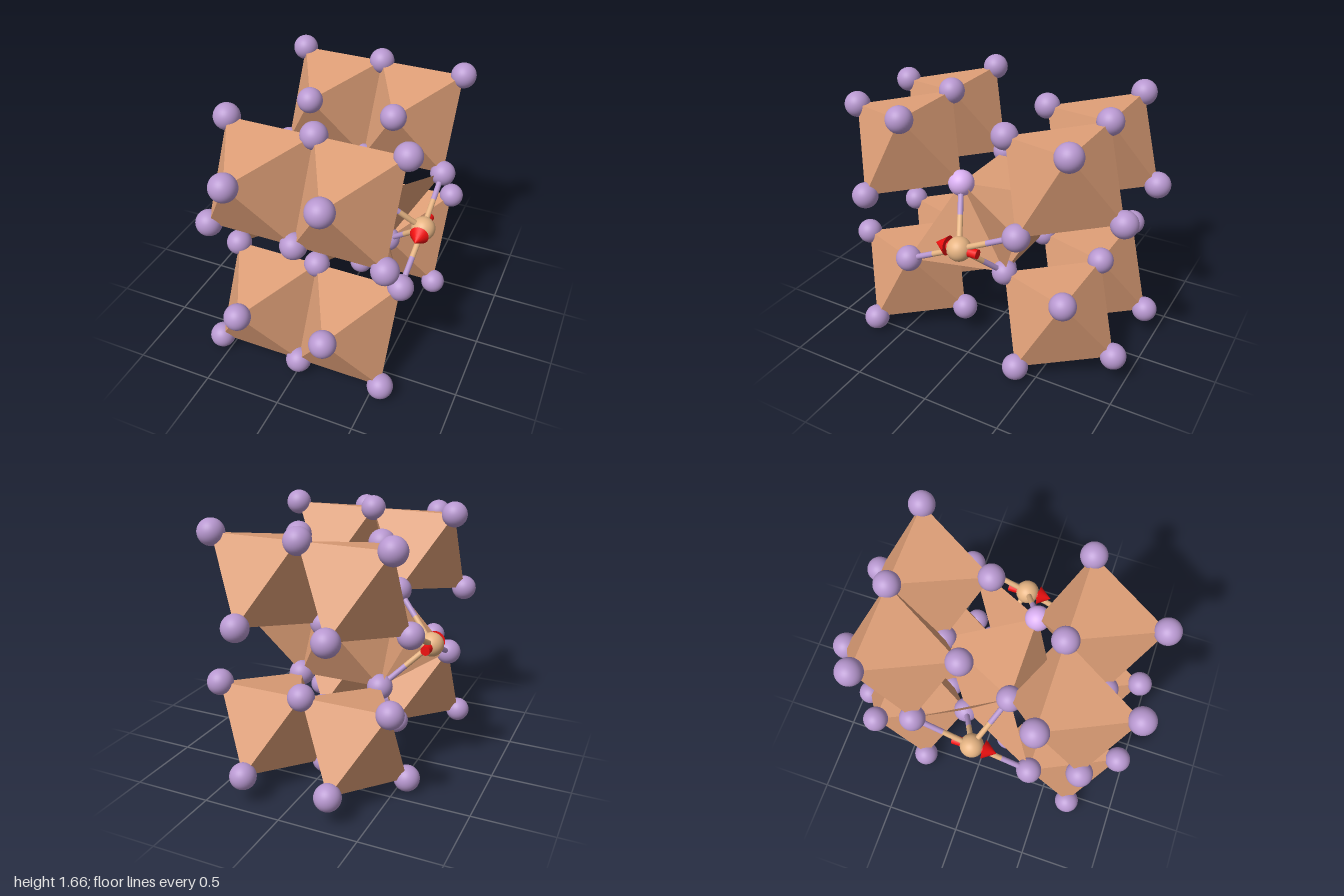
import * as THREE from 'three';
import { ConvexGeometry } from 'three/addons/geometries/ConvexGeometry.js';

const V = (x, y, z) => new THREE.Vector3(x, y, z);
const mat = (color, extra = {}) => {
  const m = new THREE.MeshStandardMaterial({ color });
  return Object.assign(m, extra);
};

// Lattice: half cell widths and the offsets of neighbours from a cell centre
const HX = 0.28, CY = 0.835, DY = 0.4675, DZ = 0.535;
const SIDE = { y: 0.187, z: -0.383 }; // neighbours that share a cell edge
const TIP = { y: 0.28, z: 0.153 };    // neighbours straight above and below

export function createModel() {
  const group = new THREE.Group();
  const violet = mat(0xb898d0), paleViolet = mat(0xdab0f2);
  const brown = mat(0xe0a078, { flatShading: true });
  const brownSheet = mat(0xe0a078, { flatShading: true, side: THREE.DoubleSide });
  const tan = mat(0xe6b483), red = mat(0xf01010);

  const add = (name, geometry, material, position) => {
    const mesh = new THREE.Mesh(geometry, material);
    mesh.name = name;
    if (position) mesh.position.copy(position);
    group.add(mesh);
    return mesh;
  };

  // Rod between two points
  const rod = (name, a, b, radius, material) => {
    const mesh = add(name, new THREE.CylinderGeometry(radius, radius, a.distanceTo(b), 16), material,
      a.clone().lerp(b, 0.5));
    mesh.quaternion.setFromUnitVectors(V(0, 1, 0), b.clone().sub(a).normalize());
  };

  // Corner balls, one for each distinct lattice point
  const ball = new THREE.SphereGeometry(0.082, 32, 20);
  const placed = new Set();
  const cornerBall = (p) => {
    const key = p.toArray().map((n) => Math.round(n * 50)).join();
    if (placed.has(key)) return;
    placed.add(key);
    const pale = p.x > 0.2 && p.x < 0.4 && Math.abs(p.y - 1.115) < 0.03 && p.z > 0 && p.z < 0.3;
    add('cornerBall', ball, pale ? paleViolet : violet, p);
  };

  // Octahedron with its six corner balls
  const octahedron = (name, c, swap) => {
    const k = swap ? -1 : 1;
    const corners = [];
    for (const s of [1, -1]) {
      // the wide rectangle and the two tips trade places in the middle cell
      const wide = swap ? TIP : { y: 0.2825, z: -0.1525 };
      const tip = swap ? SIDE : { y: 0.1875, z: 0.3825 };
      for (const x of [-HX, HX]) corners.push(V(c.x + x, c.y + s * wide.y, c.z + s * wide.z));
      corners.push(V(c.x, c.y + s * tip.y, c.z + s * tip.z));
    }
    add(name, new ConvexGeometry(corners), brown);
    corners.forEach(cornerBall);
  };

  // Eight outer octahedra and one in the middle
  for (const x of [-HX, HX])
    for (const y of [CY - DY, CY + DY])
      for (const z of [-DZ, DZ]) octahedron('outerOctahedron', V(x, y, z), false);
  octahedron('middleOctahedron', V(0, CY, 0), true);

  // Open cells on both sides: two faces, a core ball, four bonds and an arrow
  for (const s of [-1, 1]) {
    const core = V(s * 0.565, CY, 0);
    const back = V(s * 0.56, CY + SIDE.y, SIDE.z), front = V(s * 0.56, CY - SIDE.y, -SIDE.z);
    const upper = V(s * HX, CY + TIP.y, TIP.z), lower = V(s * HX, CY - TIP.y, -TIP.z);

    for (const p of [back, front]) {
      const face = new THREE.BufferGeometry().setFromPoints([upper, lower, p]);
      face.computeVertexNormals();
      add('sideFace', face, brownSheet);
    }

    add('coreBall', new THREE.SphereGeometry(0.077, 32, 20), tan, core);
    for (const p of [back, front, upper, lower]) {
      const mid = core.clone().lerp(p, 0.5);
      rod('bondInner', core, mid, 0.018, tan);
      rod('bondOuter', mid, p, 0.018, violet);
    }

    // Arrow pointing to the front
    rod('arrowShaft', V(core.x, CY, -0.13), V(core.x, CY, 0.08), 0.03, red);
    const head = add('arrowHead', new THREE.ConeGeometry(0.062, 0.085, 24), red, V(core.x, CY, 0.122));
    head.rotation.x = Math.PI / 2;
  }

  return group;
}
